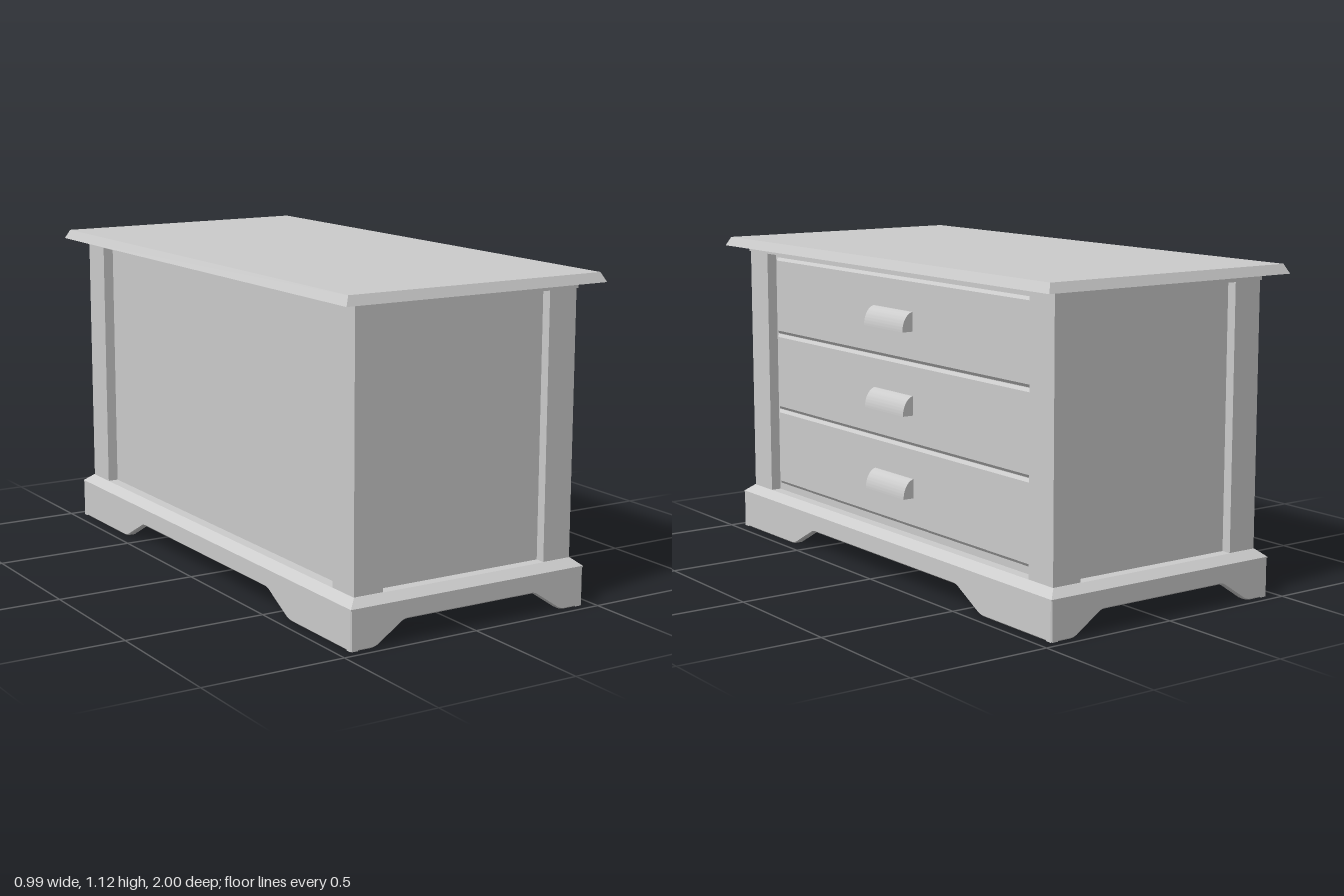
import * as THREE from 'three';
import { toCreasedNormals } from 'three/addons/utils/BufferGeometryUtils.js';

const material = new THREE.MeshStandardMaterial({ color: 0xcccccc });

function add(parent, name, geometry, x = 0, y = 0, z = 0) {
  const mesh = new THREE.Mesh(geometry, material);
  mesh.name = name;
  mesh.position.set(x, y, z);
  parent.add(mesh);
  return mesh;
}

// Closed solid through stacked rectangles, each given as [halfX, halfZ, y]
function stackedSlab(levels) {
  const rings = levels.map(([x, z, y]) => [[-x, y, -z], [-x, y, z], [x, y, z], [x, y, -z]]);
  const points = [];
  const quad = (a, b, c, d) => points.push(...a, ...b, ...c, ...a, ...c, ...d);
  for (let k = 0; k < rings.length - 1; k++) {
    const lower = rings[k], upper = rings[k + 1];
    for (let i = 0; i < 4; i++) {
      const j = (i + 1) % 4;
      quad(lower[i], lower[j], upper[j], upper[i]);
    }
  }
  const bottom = rings[0], top = rings[rings.length - 1];
  quad(top[0], top[1], top[2], top[3]);
  quad(bottom[3], bottom[2], bottom[1], bottom[0]);
  const geometry = new THREE.BufferGeometry();
  geometry.setAttribute('position', new THREE.Float32BufferAttribute(points, 3));
  geometry.computeVertexNormals();
  return geometry;
}

// Skirt board with two feet and a raised middle; foot and arch are half widths
function skirtBoard(half, foot, arch) {
  const run = foot - arch;
  const shape = new THREE.Shape();
  shape.moveTo(-half, 0.14);
  shape.lineTo(-half, 0.003);
  shape.lineTo(-foot, 0.003);
  shape.quadraticCurveTo(-foot + run * 0.14, 0.004, -foot + run * 0.25, 0.016);
  shape.lineTo(-arch - run * 0.2, 0.066);
  shape.quadraticCurveTo(-arch - run * 0.1, 0.077, -arch, 0.077);
  shape.lineTo(arch, 0.077);
  shape.quadraticCurveTo(arch + run * 0.1, 0.077, arch + run * 0.2, 0.066);
  shape.lineTo(foot - run * 0.25, 0.016);
  shape.quadraticCurveTo(foot - run * 0.14, 0.004, foot, 0.003);
  shape.lineTo(half, 0.003);
  shape.lineTo(half, 0.14);
  const geometry = new THREE.ExtrudeGeometry(shape, {
    depth: 0.022, curveSegments: 4,
    bevelThickness: 0.004, bevelSize: 0.004, bevelOffset: -0.004, bevelSegments: 1,
  });
  geometry.translate(0, 0, -0.026); // outer face at z = 0
  return geometry;
}

// Cup pull: quarter-round shell, open below, with closed ends
function cupPull() {
  const rx = 0.047, ry = 0.068, wall = 0.005, length = 0.24;
  const pull = new THREE.Group();
  const shell = new THREE.Shape();
  shell.moveTo(rx, 0);
  shell.absellipse(0, 0, rx, ry, 0, Math.PI / 2, false);
  shell.lineTo(0, ry - wall);
  shell.absellipse(0, 0, rx - wall, ry - wall, Math.PI / 2, 0, true);
  shell.closePath();
  const end = new THREE.Shape();
  end.moveTo(0, 0);
  end.lineTo(rx, 0);
  end.absellipse(0, 0, rx, ry, 0, Math.PI / 2, false);
  end.closePath();
  const extrude = (shape, depth) => toCreasedNormals(
    new THREE.ExtrudeGeometry(shape, { depth, curveSegments: 10, bevelEnabled: false }), 0.5);
  add(pull, 'pullShell', extrude(shell, length), 0, 0, -length / 2);
  for (const z of [-length / 2, length / 2 - wall]) add(pull, 'pullEnd', extrude(end, wall), 0, 0, z);
  return pull;
}

export function createModel() {
  const model = new THREE.Group();
  model.name = 'chestOfDrawers';

  // Top with chamfered edge, and the moulding beneath it
  add(model, 'top', stackedSlab([[0.497, 1, 1.09], [0.481, 0.984, 1.122]]));
  add(model, 'topMoulding', new THREE.BoxGeometry(0.856, 0.022, 1.88), 0, 1.08, 0);

  // Recessed carcass panels and corner posts
  add(model, 'carcass', new THREE.BoxGeometry(0.775, 0.92, 1.80), 0, 0.615, 0);
  for (const sx of [-1, 1]) {
    for (const sz of [-1, 1]) {
      add(model, 'cornerPost', new THREE.BoxGeometry(0.108, 0.92, 0.125), sx * 0.371, 0.615, sz * 0.8725);
    }
  }

  // Plinth cap sloping in to the posts
  add(model, 'plinthCap', stackedSlab([
    [0.457, 0.969, 0.135], [0.457, 0.969, 0.14], [0.426, 0.938, 0.166],
  ]));

  // Skirt boards on all four sides
  for (const s of [-1, 1]) {
    const endSkirt = add(model, 'endSkirt', skirtBoard(0.457, 0.38, 0.245), 0, 0, s * 0.969);
    endSkirt.rotation.y = s > 0 ? 0 : Math.PI;
    const sideSkirt = add(model, 'sideSkirt', skirtBoard(0.969, 0.61, 0.44), s * 0.457, 0, 0);
    sideSkirt.rotation.y = s * Math.PI / 2;
  }

  // Three bevelled drawer fronts with pulls
  for (let i = 0; i < 3; i++) {
    const drawer = new THREE.Group();
    drawer.name = 'drawer';
    drawer.position.y = 0.335 + i * 0.288;
    const front = stackedSlab([[0.143, 0.798, 0.38], [0.143, 0.798, 0.389], [0.132, 0.787, 0.397]]);
    front.rotateZ(-Math.PI / 2);
    add(drawer, 'drawerFront', front);
    const pull = cupPull();
    pull.name = 'drawerPull';
    pull.position.set(0.391, -0.037, 0);
    drawer.add(pull);
    model.add(drawer);
  }
  return model;
}
